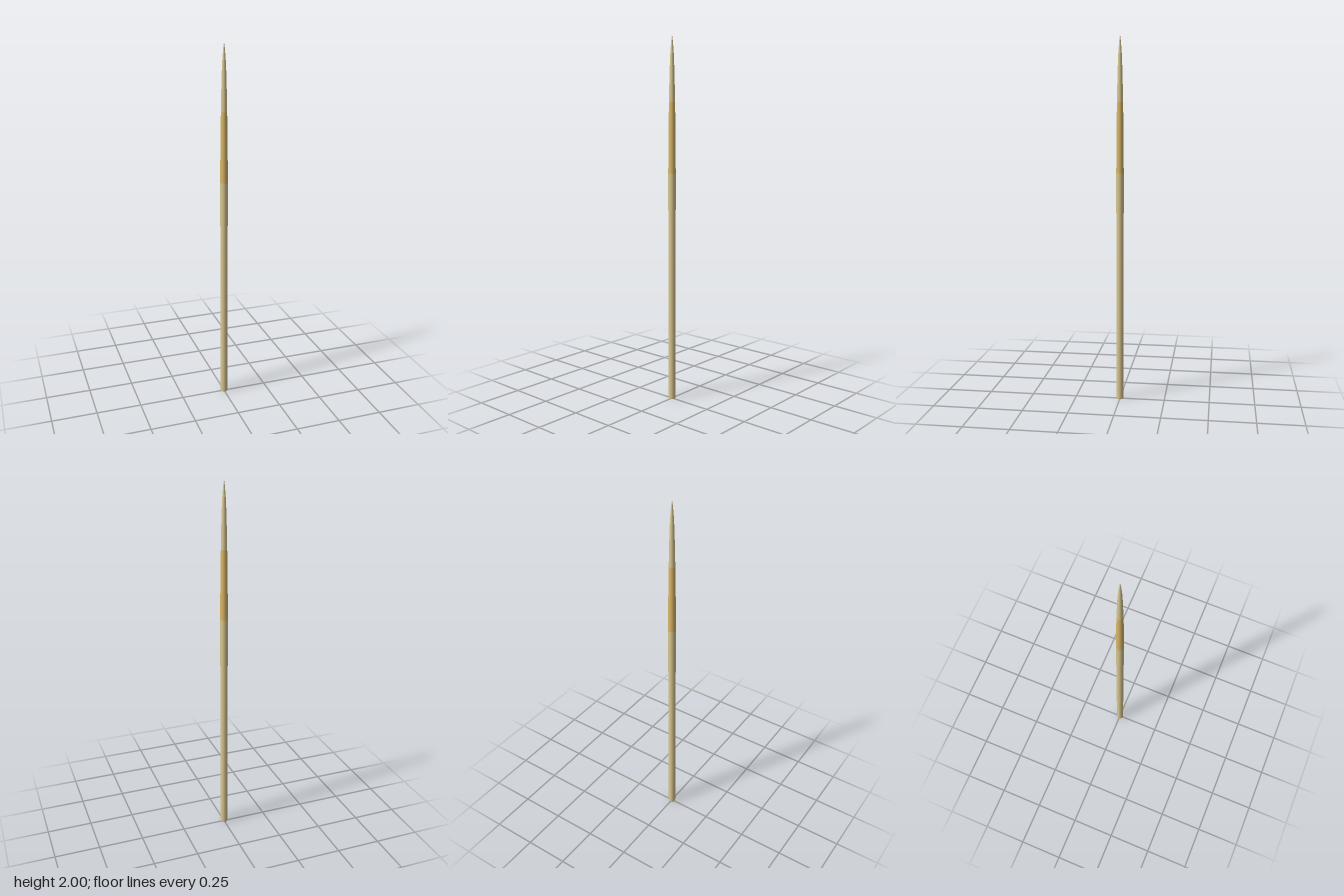
import * as THREE from 'three';

export function createModel() {
  const group = new THREE.Group();
  const paleWood = new THREE.MeshStandardMaterial({ color: 0xd8c890 });
  const amberWood = new THREE.MeshStandardMaterial({ color: 0xd9b768 });
  paleWood.name = 'paleWood';
  amberWood.name = 'amberWood';

  // Turned section from [radius, height] points, bottom to top
  const turned = (name, material, points) => {
    const profile = points.map(([r, y]) => new THREE.Vector2(r, y));
    const mesh = new THREE.Mesh(new THREE.LatheGeometry(profile, 32), material);
    mesh.name = name;
    group.add(mesh);
  };

  // Flat underside with a tiny softened rim
  turned('base', paleWood, [[0, 0], [0.0185, 0]]);
  turned('shaft', paleWood, [[0.0185, 0], [0.0203, 0.006], [0.0205, 0.4], [0.0205, 0.8], [0.0204, 1.27]]);

  // Warmer band where the taper begins
  turned('band', amberWood, [[0.0204, 1.27], [0.0198, 1.4], [0.0186, 1.52], [0.0165, 1.65]]);

  // Sharpened point
  turned('point', paleWood, [
    [0.0165, 1.65], [0.0143, 1.76], [0.0115, 1.86], [0.0085, 1.92], [0.0045, 1.97], [0.002, 1.99], [0, 2],
  ]);
  return group;
}
